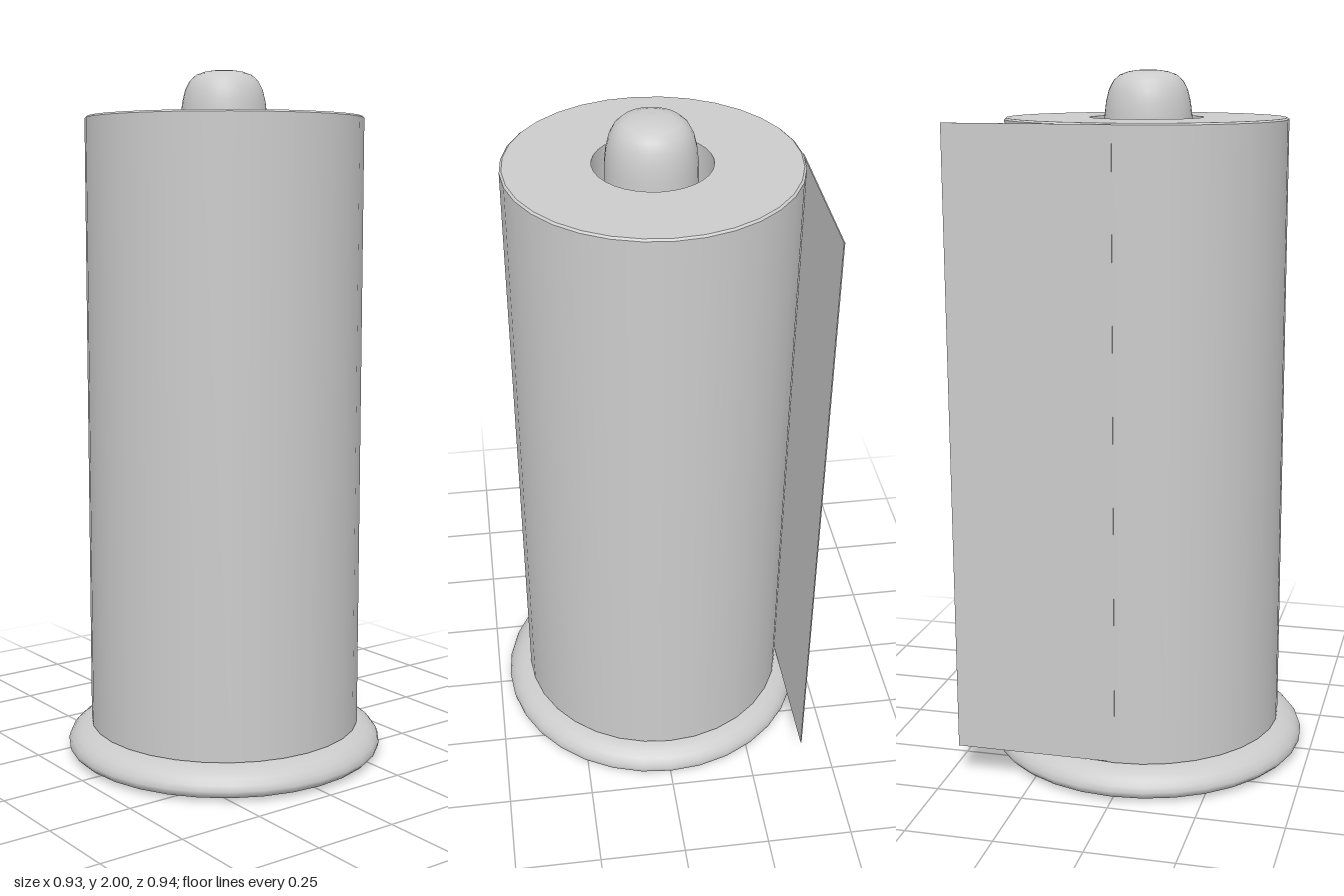
import * as THREE from 'three';
import { mergeGeometries } from 'three/addons/utils/BufferGeometryUtils.js';

const SIDES = 32;
const material = new THREE.MeshStandardMaterial({ color: 0xcccccc });

// One lathe per profile: smooth within a profile, sharp where two meet
function turned(name, profiles) {
  const parts = profiles.map((profile) =>
    new THREE.LatheGeometry(profile.map(([r, y]) => new THREE.Vector2(r, y)), SIDES));
  const mesh = new THREE.Mesh(mergeGeometries(parts), material);
  mesh.name = name;
  return mesh;
}

export function createModel() {
  const model = new THREE.Group();
  model.name = 'paperTowelHolder';

  // Round foot with a soft rim
  model.add(turned('base', [
    [[0, 0], [0.31, 0], [0.43, 0.007]],
    [[0.43, 0.007], [0.455, 0.012], [0.465, 0.022], [0.467, 0.033], [0.462, 0.048],
      [0.45, 0.063], [0.432, 0.076], [0.41, 0.084], [0.385, 0.087]],
    [[0.385, 0.087], [0, 0.087]],
  ]));

  // Upright post with a domed end
  model.add(turned('post', [
    [[0.125, 0.08], [0.125, 1.8], [0.124, 1.87], [0.119, 1.912], [0.111, 1.945],
      [0.098, 1.97], [0.08, 1.986], [0.055, 1.995], [0.028, 1.999], [0, 2]],
  ]));

  // Hollow paper roll, a touch off centre on the post
  const [bottom, top, outer, inner] = [0.09, 1.87, 0.4, 0.161];
  const roll = turned('paperRoll', [
    [[inner, bottom], [outer, bottom]],
    [[outer, bottom], [outer, top - 0.005]],
    [[outer, top - 0.005], [outer - 0.006, top]],
    [[outer - 0.006, top], [inner, top]],
    [[inner, top], [inner, bottom]],
  ]);
  roll.position.set(-0.003, 0, -0.004);
  model.add(roll);

  // Loose sheet leaving the roll along its tangent
  const length = 0.465;
  const sheet = new THREE.Mesh(
    new THREE.BoxGeometry(0.003, top - bottom - 0.007, length), material);
  sheet.name = 'looseSheet';
  sheet.position.set(-0.403, (top + bottom) / 2, -0.003 - length / 2);
  model.add(sheet);

  return model;
}
